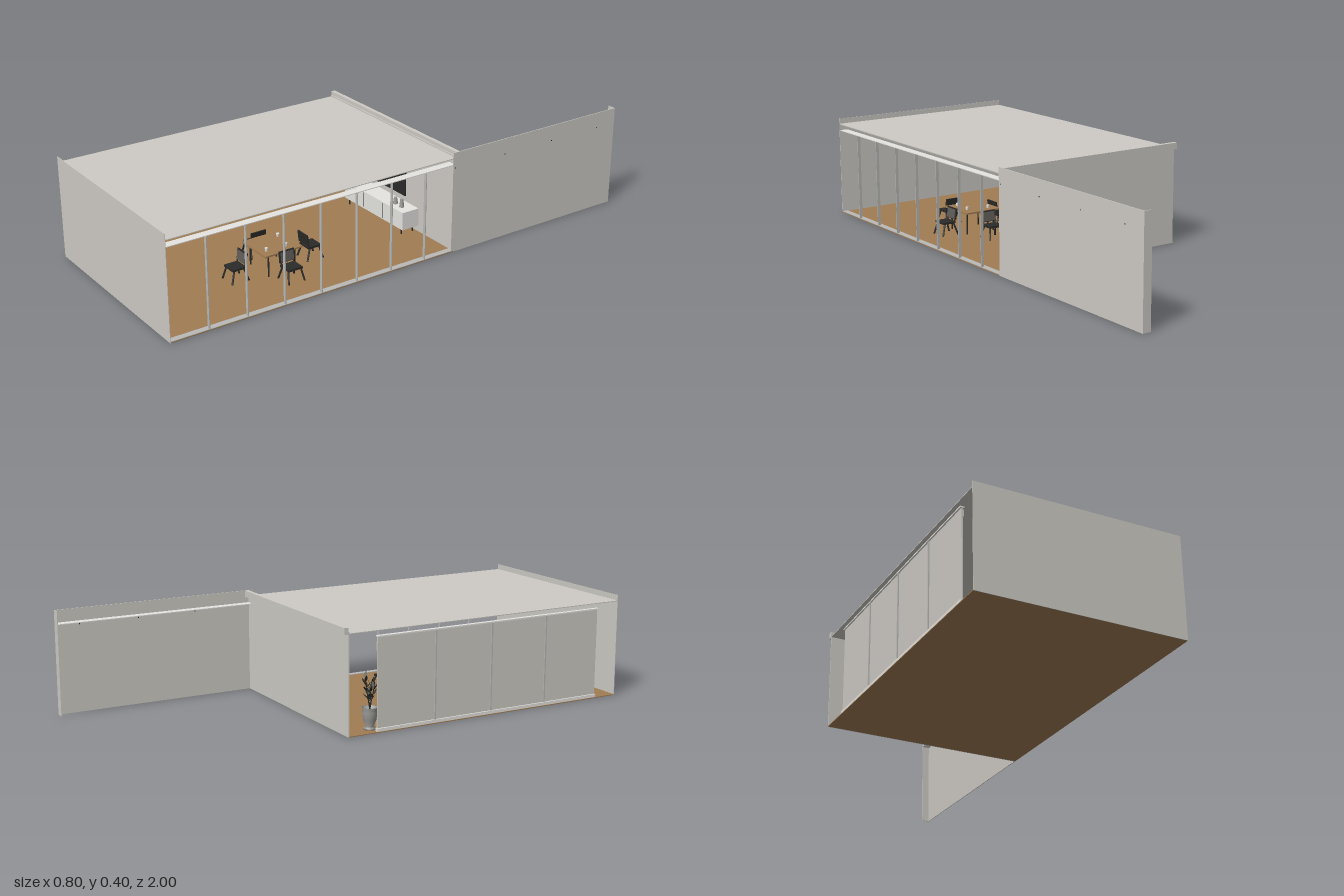
import * as THREE from 'three';

const mat = (name, color, side = THREE.FrontSide) => {
  const m = new THREE.MeshStandardMaterial({ color, side });
  m.name = name;
  return m;
};

export function createModel() {
  const root = new THREE.Group();
  root.name = 'pavilion';
  const plaster = mat('plaster', 0xcecbc5);
  const metal = mat('pale metal', 0xb9b9b7);
  const wood = mat('wood floor', 0xa17c52);
  const black = mat('black', 0x2b2b2a);
  const cushion = mat('seat grey', 0x5f5d58);
  const white = mat('white', 0xe6e5e1);
  const potGrey = mat('pot grey', 0x9a9a97);
  const leafMat = mat('leaf', 0x2c302a, THREE.DoubleSide);

  const add = (name, geo, m, x = 0, y = 0, z = 0, parent = root) => {
    const mesh = new THREE.Mesh(geo, m);
    mesh.name = name;
    mesh.position.set(x, y, z);
    parent.add(mesh);
    return mesh;
  };
  // box from its lower and upper corners
  const box = (name, m, [x0, y0, z0], [x1, y1, z1], parent = root) =>
    add(name, new THREE.BoxGeometry(x1 - x0, y1 - y0, z1 - z0), m,
      (x0 + x1) / 2, (y0 + y1) / 2, (z0 + z1) / 2, parent);
  // rod between two points
  const rod = (name, m, a, b, r, parent = root) => {
    const p = new THREE.Vector3(...a), q = new THREE.Vector3(...b);
    const mesh = add(name, new THREE.CylinderGeometry(r, r, p.distanceTo(q), 8), m, 0, 0, 0, parent);
    mesh.position.copy(p).lerp(q, 0.5);
    mesh.quaternion.setFromUnitVectors(new THREE.Vector3(0, 1, 0), q.sub(p).normalize());
    return mesh;
  };

  // shell
  box('floor', wood, [-0.4, 0, -0.2], [0.4, 0.003, 0.998]);
  box('roof', plaster, [-0.4, 0.376, -0.2], [0.4, 0.379, 0.998]);
  box('frontWall', plaster, [-0.4, 0, 0.998], [0.4, 0.4, 1]);
  box('backWall', plaster, [-0.4, 0, -0.204], [0.4, 0.385, -0.2]);
  box('backParapet', plaster, [-0.4, 0.375, -0.22], [0.4, 0.4, -0.204]);
  box('gardenWall', plaster, [0.397, 0, -1], [0.4, 0.4, -0.19]);
  box('gardenWallEnd', plaster, [0.367, 0, -1], [0.397, 0.4, -0.997]);
  box('eavesTrack', white, [0.365, 0.349, -0.997], [0.397, 0.352, 0.998]);
  for (const z of [-0.2, -0.436, -0.67, -0.905])
    box('wallFixing', black, [0.396, 0.337, z - 0.002], [0.4008, 0.341, z + 0.002]);

  // glazing frame of the open right-hand side
  box('floorTrack', metal, [0.375, 0.003, -0.2], [0.399, 0.005, 0.998]);
  for (let i = 1; i < 8; i++) {
    const z = 1 - i * 0.1525;
    box('mullion', metal, [0.387, 0.003, z - 0.0015], [0.399, 0.35, z + 0.0015]);
  }

  // four tall panels opposite, with blinds at their heads
  const drops = [0.05, 0.033, 0.027, 0.026];
  drops.forEach((drop, i) => {
    const z0 = -0.082 + i * 0.2475, z1 = z0 + 0.2475;
    box('sidePanel', plaster, [-0.392, 0.015, z0 + 0.002], [-0.388, 0.352, z1 - 0.002]);
    box('blind', plaster, [-0.386, 0.35 - drop, z0 + 0.005], [-0.38, 0.35, z1 - 0.008]);
    if (i) box('panelPost', metal, [-0.396, 0.015, z0 - 0.003], [-0.387, 0.352, z0 + 0.003]);
  });
  box('panelSill', white, [-0.398, 0.003, -0.082], [-0.383, 0.015, 0.908]);
  box('panelHead', white, [-0.398, 0.352, -0.082], [-0.383, 0.357, 0.908]);

  // dining table
  const tx = 0.12, tz = 0.42;
  box('tableTop', wood, [tx - 0.08, 0.09, tz - 0.08], [tx + 0.08, 0.096, tz + 0.08]);
  for (const sx of [-1, 1]) for (const sz of [-1, 1])
    rod('tableLeg', black, [tx + sx * 0.062, 0.003, tz + sz * 0.056], [tx + sx * 0.062, 0.09, tz + sz * 0.056], 0.003);
  for (const [dx, dz] of [[-0.04, -0.05], [0.04, 0.05], [0.045, -0.03]])
    add('cup', new THREE.CylinderGeometry(0.006, 0.005, 0.012, 12), white, tx + dx, 0.102, tz + dz);

  // chairs, each with its back at local -z
  const chair = (x, z, turn) => {
    const g = new THREE.Group();
    g.name = 'chair';
    g.position.set(x, 0, z);
    g.rotation.y = turn;
    box('seat', black, [-0.03, 0.05, -0.026], [0.03, 0.058, 0.03], g);
    const back = box('backrest', black, [-0.032, 0.064, -0.031], [0.032, 0.108, -0.026], g);
    back.rotation.x = -0.12;
    box('backPad', cushion, [-0.027, 0.067, -0.025], [0.027, 0.104, -0.023], g).rotation.x = -0.12;
    for (const s of [-1, 1]) {
      rod('frontLeg', black, [s * 0.034, 0.003, 0.036], [s * 0.026, 0.052, 0.022], 0.0035, g);
      rod('rearLeg', black, [s * 0.034, 0.003, -0.034], [s * 0.026, 0.052, -0.018], 0.0035, g);
      rod('backPost', black, [s * 0.026, 0.052, -0.022], [s * 0.028, 0.1, -0.03], 0.003, g);
    }
    root.add(g);
  };
  chair(0.13, 0.582, 0);
  chair(0.13, 0.262, Math.PI);
  chair(0.245, tz, Math.PI / 2);
  chair(-0.005, tz, -Math.PI / 2);

  // pendant lamps
  for (const z of [0.465, 0.38]) {
    rod('lampCord', black, [tx, 0.29, z], [tx, 0.376, z], 0.001);
    rod('lamp', black, [tx, 0.278, z], [tx, 0.295, z], 0.004);
  }

  // sideboard with ornaments, and a screen above
  box('sideboard', white, [-0.19, 0.028, -0.198], [0.19, 0.1, -0.122]);
  for (const x of [-0.17, 0.17]) for (const z of [-0.185, -0.132])
    rod('sideboardLeg', black, [x, 0.003, z], [x, 0.028, z], 0.003);
  for (const x of [-0.063, 0.063])
    box('doorGap', black, [x - 0.001, 0.032, -0.1225], [x + 0.001, 0.096, -0.1215]);
  for (const [x, h] of [[-0.14, 0.02], [0.1, 0.026], [0.14, 0.032]])
    add('ornament', new THREE.CylinderGeometry(0.006, 0.01, h, 14), potGrey, x, 0.1 + h / 2, -0.155);
  box('screen', black, [-0.12, 0.13, -0.19], [0.12, 0.26, -0.184]);

  // potted plant
  const plant = new THREE.Group();
  plant.name = 'plant';
  plant.position.set(-0.35, 0.003, -0.087);
  root.add(plant);
  const profile = [[0, 0], [0.022, 0], [0.022, 0.006], [0.014, 0.012], [0.024, 0.035], [0.028, 0.066],
    [0.025, 0.072], [0.03, 0.082], [0.026, 0.082], [0.022, 0.07], [0, 0.07]];
  add('pot', new THREE.LatheGeometry(profile.map(p => new THREE.Vector2(...p)), 20), potGrey, 0, 0, 0, plant);
  const leafShape = new THREE.Shape();
  leafShape.moveTo(0, 0);
  leafShape.quadraticCurveTo(0.012, 0.012, 0, 0.03);
  leafShape.quadraticCurveTo(-0.012, 0.012, 0, 0);
  const leafGeo = new THREE.ShapeGeometry(leafShape, 5);
  for (let i = 0; i < 4; i++) {
    const a = i * 1.7, tip = [Math.cos(a) * 0.018, 0.15 + i * 0.013, Math.sin(a) * 0.018];
    rod('stem', black, [0, 0.07, 0], tip, 0.0015, plant);
    for (let k = 0; k < 7; k++) {
      const t = 0.4 + k * 0.1;
      const leaf = add('leaf', leafGeo, leafMat, tip[0] * t, 0.07 + (tip[1] - 0.07) * t, tip[2] * t, plant);
      leaf.rotation.set(0.9 - k * 0.08, a + k * 2.4, 0, 'YXZ');
    }
  }
  return root;
}
